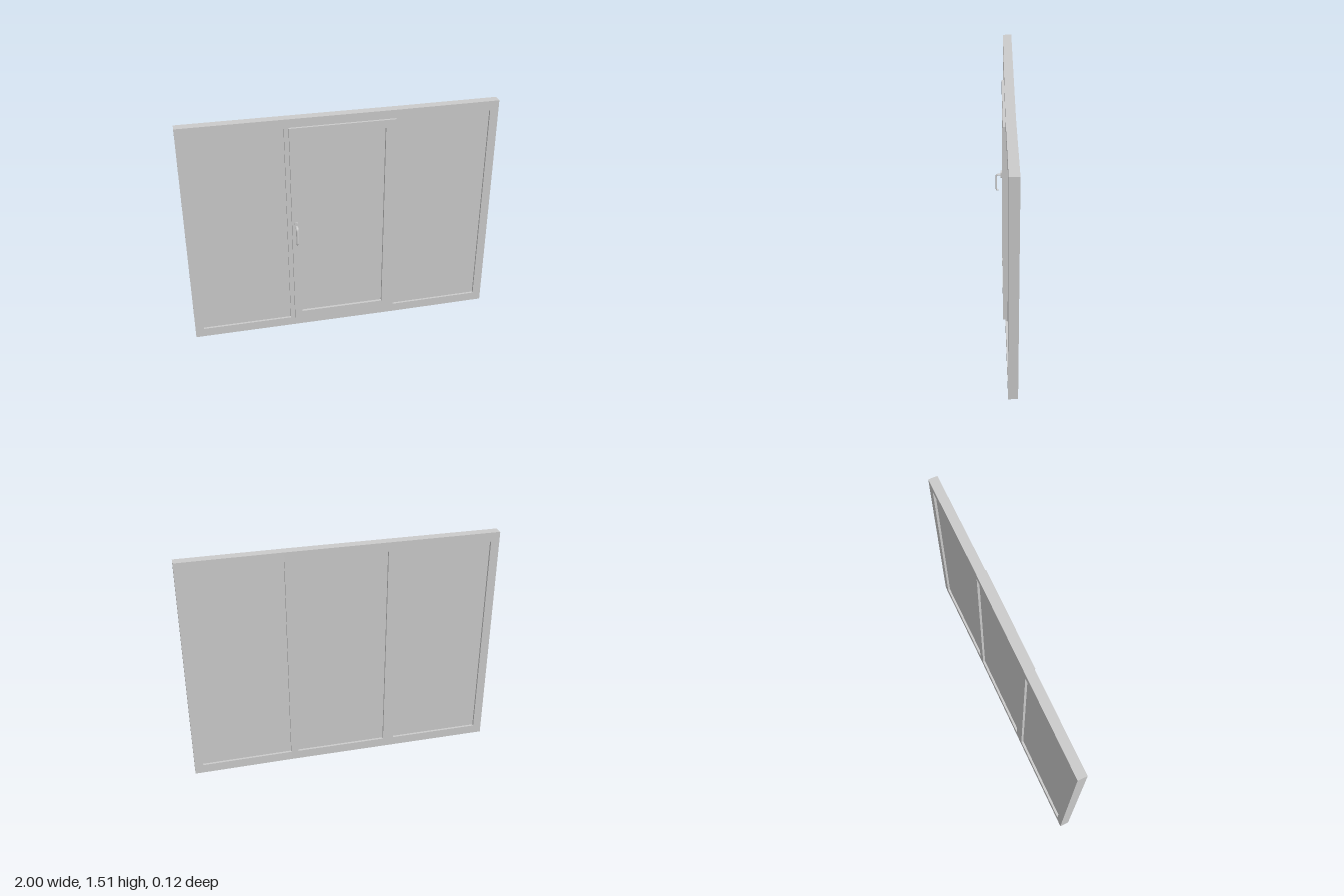
import * as THREE from 'three';

const material = new THREE.MeshStandardMaterial({ color: 0xcccccc });

function add(parent, name, geometry) {
  const mesh = new THREE.Mesh(geometry, material);
  mesh.name = name;
  parent.add(mesh);
  return mesh;
}

// Closed outline through a list of [x, y] corners
function outline(points, Type = THREE.Shape) {
  return new Type(points.map(([x, y]) => new THREE.Vector2(x, y)));
}

const rect = (x0, x1, y0, y1) => [[x0, y0], [x1, y0], [x1, y1], [x0, y1]];

// Flat part between two depths, with optional rectangular holes
function slab(points, zBack, zFront, holes = []) {
  const shape = outline(points);
  holes.forEach((h) => shape.holes.push(outline(rect(...h), THREE.Path)));
  const geometry = new THREE.ExtrudeGeometry(shape, { depth: zFront - zBack, bevelEnabled: false });
  return geometry.translate(0, 0, zBack);
}

export function createModel() {
  const model = new THREE.Group();
  model.name = 'window';

  const height = 1.51, low = 0.06, high = 1.45;
  const joint = 0.355, side = 0.945;
  const back = -0.056, front = 0.003;
  const glassBack = -0.041, glassFront = -0.011;

  // Main frame with the left and middle openings
  add(model, 'mainFrame', slab(rect(-1, joint, 0, height), back, front, [
    [-side, -0.358, low, high],
    [-0.285, 0.306, low, high],
  ]));
  add(model, 'leftPane', slab(rect(-side, -0.358, low, high), glassBack, glassFront));
  add(model, 'middlePane', slab(rect(-0.285, 0.306, low, high), glassBack, -0.001));

  // Right bay, leaning slightly backwards from the joint
  const lean = (geometry) => {
    const p = geometry.attributes.position;
    for (let i = 0; i < p.count; i++) {
      p.setZ(i, p.getZ(i) - 0.006 * (p.getX(i) - joint) / (1 - joint));
    }
    geometry.computeVertexNormals();
    return geometry;
  };
  const bay = [[joint, 0], [1, 0], [1, height], [joint, height],
    [joint, high], [side, high], [side, low], [joint, low]];
  add(model, 'rightFrame', lean(slab(bay, back, front)));
  add(model, 'rightPane', lean(slab(rect(joint, side, low, high), glassBack, glassFront)));

  // Opening sash lapping over the middle opening
  add(model, 'sash', slab(rect(-0.33, 0.335, 0.055, 1.455), front - 0.002, 0.018,
    [[-0.28, 0.27, 0.112, 1.403]]));

  // Handle: rounded base plate, then a flattened bent lever
  const handle = new THREE.Group();
  handle.name = 'handle';
  handle.position.set(-0.304, 0, 0);
  model.add(handle);

  const plate = new THREE.Shape();
  plate.absarc(0, 0.797, 0.013, 0, Math.PI);
  plate.absarc(0, 0.768, 0.013, Math.PI, 2 * Math.PI);
  add(handle, 'handlePlate', new THREE.ExtrudeGeometry(plate, {
    depth: 0.011, bevelEnabled: false, curveSegments: 16,
  }).translate(0, 0, 0.017));

  const path = new THREE.CurvePath();
  const v = (y, z) => new THREE.Vector3(0, y, z);
  path.add(new THREE.LineCurve3(v(0.782, 0.02), v(0.782, 0.042)));
  path.add(new THREE.QuadraticBezierCurve3(v(0.782, 0.042), v(0.782, 0.057), v(0.765, 0.057)));
  path.add(new THREE.LineCurve3(v(0.765, 0.057), v(0.678, 0.057)));
  path.add(new THREE.QuadraticBezierCurve3(v(0.678, 0.057), v(0.665, 0.057), v(0.663, 0.048)));
  const lever = add(handle, 'handleLever', new THREE.TubeGeometry(path, 48, 0.0055, 12));
  lever.scale.x = 1.6;

  // Rounded tip closing the lever
  const tip = add(handle, 'handleTip', new THREE.SphereGeometry(0.0055, 12, 8));
  tip.position.set(0, 0.663, 0.048);
  tip.scale.x = 1.6;

  return model;
}
